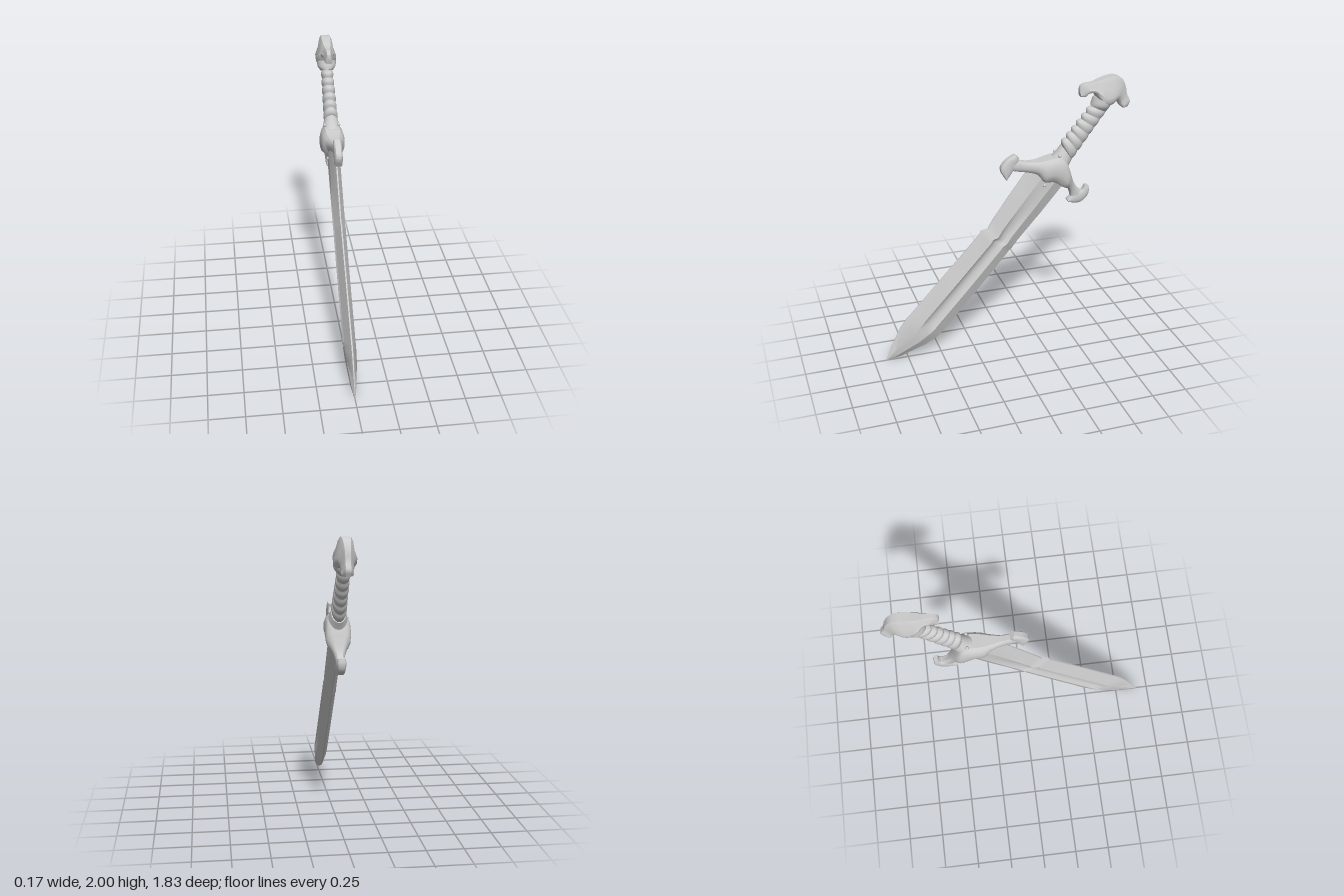
import * as THREE from 'three';
import { toCreasedNormals } from 'three/addons/utils/BufferGeometryUtils.js';

const material = new THREE.MeshStandardMaterial({ color: 0xcccccc });

// Half profiles: [position from edge A to edge B, share of half width, fuller dip]
const BLADE = [[0, 0.12, 0], [0.37, 1, 0], [0.42, 1, 0.55], [0.48, 1, 0.9], [0.54, 1, 1],
  [0.6, 1, 0.9], [0.66, 1, 0.5], [0.72, 1, 0], [1, 0.12, 0]];
const SLAB = [[0, 0.6, 0], [0.12, 0.85, 0], [0.35, 1, 0], [0.65, 1, 0], [0.88, 0.85, 0], [1, 0.6, 0]];
const HEAD = [[0, 0.42, 0], [0.15, 0.6, 0], [0.45, 0.75, 0], [0.7, 1, 0], [0.88, 0.95, 0], [1, 0.7, 0]];
const ROUND = Array.from({ length: 11 }, (_, i) => {
  const a = Math.PI * i / 10;
  return [(1 - Math.cos(a)) / 2, Math.sin(a), 0];
});

// Rounds a section list by running splines through both edges
function smooth(sections, steps = 4) {
  const curve = (z, y) => new THREE.CatmullRomCurve3(
    sections.map(s => new THREE.Vector3(s[4], s[y], s[z])), false, 'centripetal');
  const a = curve(0, 1), b = curve(2, 3), n = (sections.length - 1) * steps;
  return Array.from({ length: n + 1 }, (_, i) => {
    const p = a.getPoint(i / n), q = b.getPoint(i / n);
    return [p.z, p.y, q.z, q.y, p.x];
  });
}

// Lofts sections [zA, yA, zB, yB, half width, fuller depth], mirrored in x, with end caps
function loft(name, sections, half, crease = 0.6) {
  const ring = [...half.map(p => [...p, 1]), ...half.slice().reverse().map(p => [...p, -1])];
  const n = ring.length, pos = [], idx = [];
  for (const [za, ya, zb, yb, w, f = 0] of sections) {
    for (const [u, v, dip, side] of ring) {
      pos.push(side * w * (v - f * dip), ya + (yb - ya) * u, za + (zb - za) * u);
    }
  }
  for (let s = 0; s < sections.length - 1; s++) {
    for (let i = 0; i < n; i++) {
      const a = s * n + i, b = s * n + (i + 1) % n;
      idx.push(a, b, a + n, b, b + n, a + n);
    }
  }
  const last = (sections.length - 1) * n, h = half.length;
  for (let i = 0; i < h - 1; i++) {
    const j = n - 1 - i;
    idx.push(i, j, i + 1, i + 1, j, j - 1);
    idx.push(last + i, last + i + 1, last + j, last + i + 1, last + j - 1, last + j);
  }
  // Turn the faces outward when the enclosed volume is negative
  const corner = i => new THREE.Vector3().fromArray(pos, idx[i] * 3);
  let volume = 0;
  for (let i = 0; i < idx.length; i += 3) volume += corner(i).dot(corner(i + 1).cross(corner(i + 2)));
  if (volume < 0) idx.reverse();
  const g = new THREE.BufferGeometry();
  g.setAttribute('position', new THREE.Float32BufferAttribute(pos, 3));
  g.setIndex(idx);
  const mesh = new THREE.Mesh(toCreasedNormals(g, crease), material);
  mesh.name = name;
  return mesh;
}

export function createModel() {
  const model = new THREE.Group();
  model.name = 'dagger';

  // Blade with a central fuller and a notch on the upper edge
  model.add(loft('blade', [
    [0.915, 0, 0.91, 0, 0.002],
    [0.87, 0.11, 0.81, 0.015, 0.02],
    [0.80, 0.25, 0.61, 0.085, 0.036],
    [0.75, 0.32, 0.53, 0.13, 0.04],
    [0.71, 0.36, 0.48, 0.175, 0.04, 0.4],
    [0.455, 0.635, 0.235, 0.45, 0.04, 0.5],
    [0.195, 0.915, -0.01, 0.735, 0.04, 0.5],
    [0.18, 0.945, -0.03, 0.76, 0.04, 0.5],
    [0.13, 0.955, -0.045, 0.77, 0.04, 0.5],
    [0.10, 1.01, -0.09, 0.83, 0.04, 0.45],
    [-0.02, 1.18, -0.26, 1.02, 0.04, 0.15],
    [-0.15, 1.355, -0.43, 1.22, 0.04],
    [-0.22, 1.42, -0.45, 1.26, 0.04],
  ], BLADE, 0.35));

  // Crossguard: swelling bar, two curled ends and the neck to the grip
  model.add(loft('guardBar', smooth([
    [-0.02, 1.445, -0.02, 1.39, 0.025],
    [-0.09, 1.45, -0.075, 1.375, 0.03],
    [-0.15, 1.435, -0.15, 1.36, 0.035],
    [-0.22, 1.43, -0.23, 1.335, 0.055],
    [-0.295, 1.44, -0.275, 1.28, 0.08],
    [-0.35, 1.45, -0.35, 1.27, 0.085],
    [-0.42, 1.445, -0.40, 1.235, 0.085],
    [-0.465, 1.35, -0.435, 1.215, 0.08],
    [-0.485, 1.295, -0.46, 1.205, 0.06],
    [-0.51, 1.235, -0.48, 1.175, 0.04],
    [-0.545, 1.185, -0.49, 1.14, 0.03],
    [-0.575, 1.16, -0.49, 1.105, 0.028],
  ]), SLAB));
  model.add(loft('frontGuardCurl', smooth([
    [0, 1.32, -0.01, 1.32, 0.027],
    [0.03, 1.375, -0.035, 1.355, 0.03],
    [0.035, 1.41, -0.06, 1.39, 0.03],
    [0.005, 1.455, -0.09, 1.435, 0.03],
    [-0.03, 1.48, -0.09, 1.455, 0.03],
    [-0.065, 1.5, -0.095, 1.475, 0.025],
  ]), SLAB));
  model.add(loft('rearGuardCurl', smooth([
    [-0.465, 1.105, -0.475, 1.085, 0.027],
    [-0.49, 1.13, -0.52, 1.075, 0.03],
    [-0.54, 1.165, -0.565, 1.075, 0.03],
    [-0.575, 1.165, -0.615, 1.115, 0.03],
    [-0.59, 1.18, -0.63, 1.16, 0.03],
    [-0.6, 1.2, -0.625, 1.195, 0.025],
  ]), SLAB));
  model.add(loft('guardNeck', smooth([
    [-0.33, 1.435, -0.435, 1.295, 0.08],
    [-0.375, 1.48, -0.465, 1.365, 0.065],
    [-0.41, 1.53, -0.49, 1.41, 0.05],
  ]), ROUND));

  // Grip with rounded bands, fuller on the front side
  const grip = [], bands = 6, steps = 8;
  for (let i = 0; i <= bands * steps; i++) {
    const t = i / (bands * steps);
    const bulge = Math.abs(Math.sin(Math.PI * bands * t));
    const front = 0.018 * bulge, back = 0.006 * bulge;
    grip.push([
      -0.415 - 0.215 * t + front * 0.8, 1.535 + 0.255 * t + front * 0.6,
      -0.49 - 0.25 * t - back * 0.8, 1.415 + 0.335 * t - back * 0.6,
      0.045 - 0.008 * t + 0.008 * bulge,
    ]);
  }
  model.add(loft('grip', grip, ROUND));

  // Pommel: collar and hooked bird-like head
  model.add(loft('pommelCollar', smooth([
    [-0.625, 1.795, -0.74, 1.745, 0.045],
    [-0.63, 1.815, -0.76, 1.775, 0.065],
    [-0.645, 1.86, -0.78, 1.815, 0.07],
  ]), ROUND));
  model.add(loft('pommelHead', smooth([
    [-0.535, 1.91, -0.545, 1.87, 0.025],
    [-0.54, 1.945, -0.58, 1.87, 0.03],
    [-0.565, 1.96, -0.6, 1.89, 0.035],
    [-0.63, 1.965, -0.645, 1.89, 0.045],
    [-0.68, 1.98, -0.67, 1.85, 0.065],
    [-0.74, 1.995, -0.72, 1.8, 0.075],
    [-0.79, 2, -0.765, 1.805, 0.075],
    [-0.84, 1.98, -0.805, 1.825, 0.06],
    [-0.875, 1.925, -0.825, 1.81, 0.045],
    [-0.89, 1.86, -0.835, 1.79, 0.04],
    [-0.915, 1.805, -0.85, 1.77, 0.04],
    [-0.9, 1.765, -0.855, 1.765, 0.035],
  ]), HEAD));

  // Rivets on both faces of the guard
  for (const side of [-1, 1]) {
    for (const [x, y, z] of [[0.05, 1.465, -0.385], [0.04, 1.25, -0.28]]) {
      const rivet = new THREE.Mesh(new THREE.SphereGeometry(0.012, 12, 8), material);
      rivet.position.set(side * x, y, z);
      rivet.name = 'rivet';
      model.add(rivet);
    }
  }
  return model;
}
